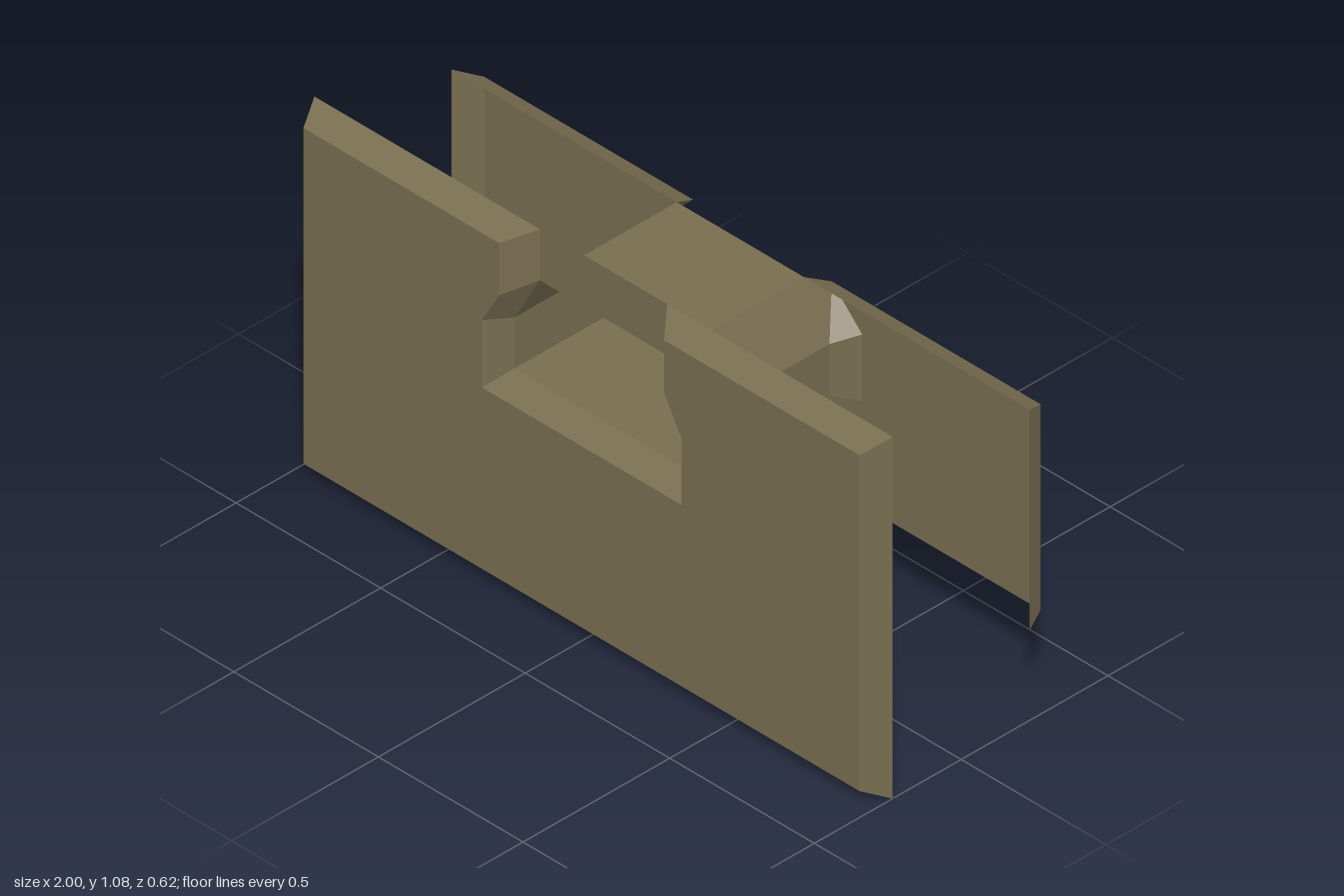
import * as THREE from 'three';

const olive = new THREE.MeshStandardMaterial({ color: 0x786d50, side: THREE.DoubleSide, flatShading: true });

// Right half of an outline (top to bottom) mirrored into a full loop
const mirror = (half) => [...half, ...half.slice().reverse().map(([x, y]) => [-x, y])];

// Wall joining outline a at depth za to outline b at depth zb; listed segments stay open
function wall(a, za, b, zb, open = []) {
  const pos = [];
  a.forEach((p, i) => {
    if (open.includes(i)) return;
    const j = (i + 1) % a.length;
    const p1 = [...p, za], p2 = [...a[j], za], q1 = [...b[i], zb], q2 = [...b[j], zb];
    pos.push(...p1, ...p2, ...q2, ...p1, ...q2, ...q1);
  });
  const geo = new THREE.BufferGeometry();
  geo.setAttribute('position', new THREE.Float32BufferAttribute(pos, 3));
  geo.computeVertexNormals();
  return geo;
}

const flat = (points) => new THREE.ShapeGeometry(new THREE.Shape(points.map(([x, y]) => new THREE.Vector2(x, y))));

export function createModel() {
  const group = new THREE.Group();
  const add = (name, geo) => {
    const mesh = new THREE.Mesh(geo, olive);
    mesh.name = name;
    group.add(mesh);
  };
  const zFace = 0.308, zRim = 0.233;

  // Opening: inner edge of the tunnel and its wider mouth on the plates
  const tunnelHalf = [[0.22, 0.925], [0.308, 0.77], [0.308, 0.618]];
  const mouthLow = [[0.345, 0.78], [0.345, 0.58]];

  // Outlines run clockwise: outer edge, then round the notch
  const outline = (outer, notch) => {
    const n = notch.map(([x, y]) => [-x, y]);
    return [...outer, ...outer.slice().reverse().map(([x, y]) => [-x, y]), ...n, ...notch.slice().reverse()];
  };

  // Front plate: flat face with a flared flange all round, including the notch
  const frontFace = outline([[0.285, 1.04], [0.962, 1.04], [0.962, 0.04]], [[0.285, 0.885], ...mouthLow]);
  const frontRim = outline([[0.22, 1.077], [1, 1.077], [1, 0]], tunnelHalf);
  add('frontPlate', flat(frontFace).translate(0, 0, zFace));
  add('frontFlange', wall(frontFace, zFace, frontRim, zRim));

  // Panel closing the notch above the tunnel
  add('notchPanel', flat([[-0.22, 0.925], [0.22, 0.925], [0.22, 1.077], [-0.22, 1.077]]).translate(0, 0, zRim));

  // Tunnel joining the two plates
  const tunnel = mirror(tunnelHalf);
  add('tunnel', wall(tunnel, zRim, tunnel, -zRim));

  // Shorter back plate, its flange open along the bottom
  const backFace = outline([[0.24, 0.885], [0.962, 0.885], [0.962, 0.272]], mouthLow);
  const backRim = outline([[0.22, 0.925], [1, 0.925], [1, 0.268]], tunnelHalf.slice(1));
  add('backPlate', flat(backFace).rotateY(Math.PI).translate(0, 0, -zFace));
  add('backFlange', wall(backRim, -zRim, backFace, -zFace, [2]));

  return group;
}
